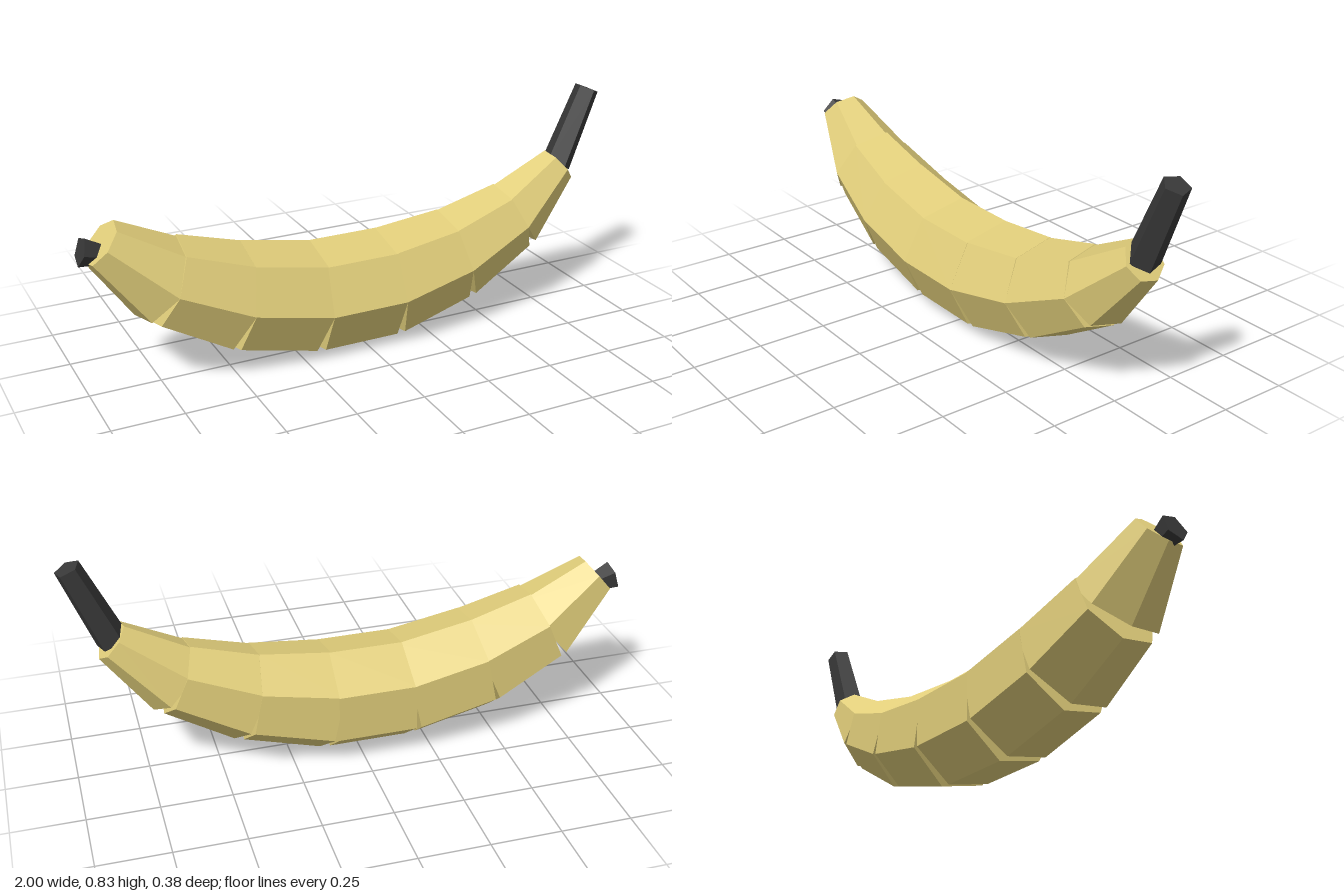
import * as THREE from 'three';

const skin = new THREE.MeshStandardMaterial({ color: 0xe0cd7a, flatShading: true });
const dark = new THREE.MeshStandardMaterial({ color: 0x383838, flatShading: true });

// Capped frustum between two points [x, y, radius]; one corner always faces +z
function frustum(name, a, b, ra, rb, sides, material) {
  const dx = b[0] - a[0], dy = b[1] - a[1];
  const mesh = new THREE.Mesh(
    new THREE.CylinderGeometry(rb, ra, Math.hypot(dx, dy), sides), material);
  mesh.name = name;
  mesh.position.set((a[0] + b[0]) / 2, (a[1] + b[1]) / 2, -0.01);
  mesh.rotation.z = Math.atan2(-dx, dy);
  return mesh;
}

export function createModel() {
  const group = new THREE.Group();
  group.name = 'banana';

  // Body: straight seven-sided segments hinged on the centre line,
  // overlapping on the inside of the bend and gaping on the outside
  const spine = [
    [-0.92, 0.54, 0.086], [-0.714, 0.366, 0.16], [-0.465, 0.26, 0.193],
    [-0.182, 0.2, 0.2], [0.102, 0.2, 0.2], [0.382, 0.256, 0.176],
    [0.635, 0.365, 0.138], [0.84, 0.538, 0.0735],
  ];
  for (let i = 0; i < spine.length - 1; i++) {
    const a = spine[i], b = spine[i + 1];
    group.add(frustum('bodySegment' + (i + 1), a, b, a[2], b[2], 7, skin));
  }

  // Stem and blossom tip
  group.add(frustum('stem', [0.835, 0.537], [0.955, 0.82], 0.057, 0.046, 5, dark));
  group.add(frustum('blossomTip', [-0.915, 0.502], [-0.987, 0.524], 0.035, 0.052, 5, dark));
  return group;
}
